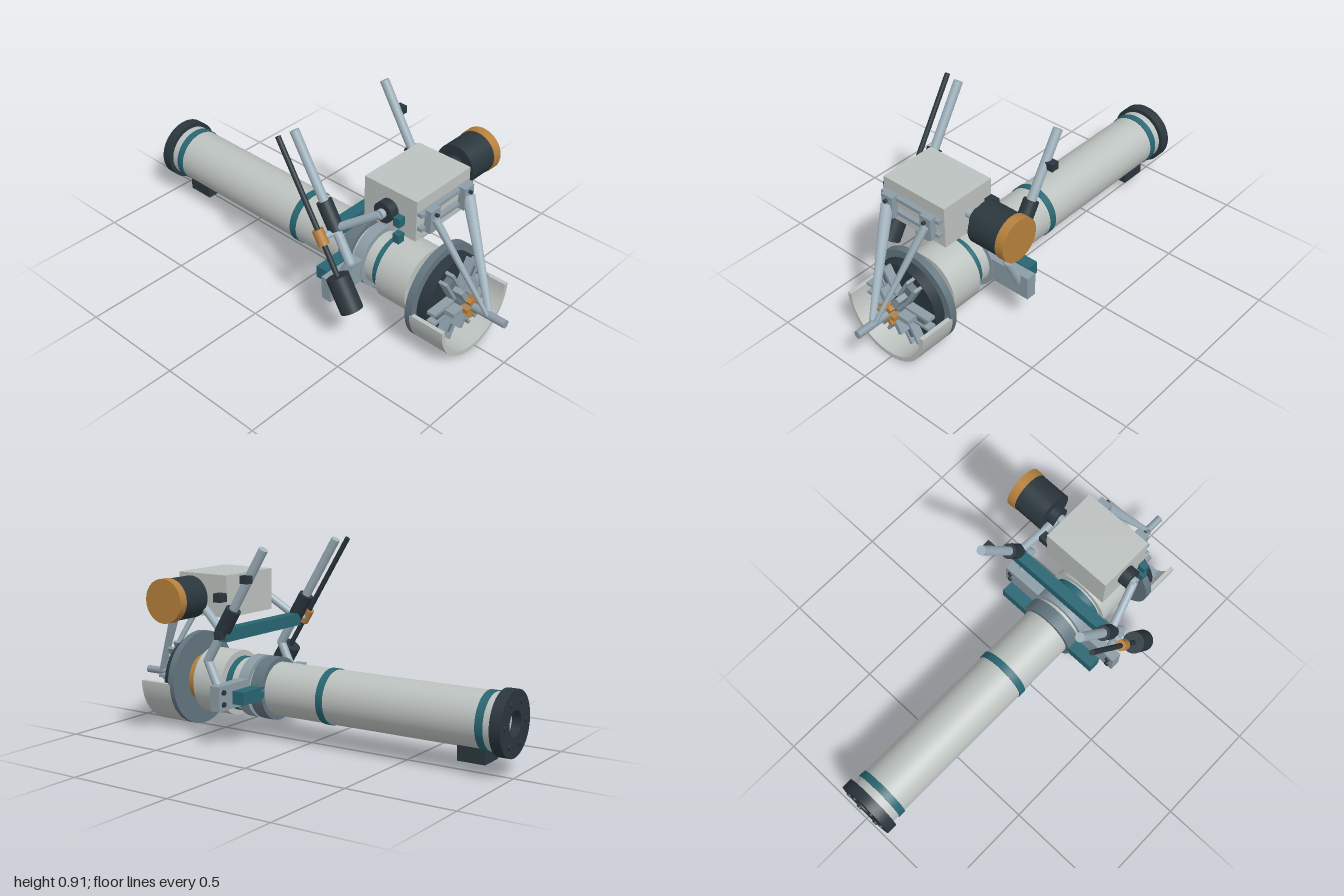
import * as THREE from 'three';

const CX = -0.02, CY = 0.228; // barrel axis
const mat = (color) => new THREE.MeshStandardMaterial({ color });
const V = (x, y, z) => new THREE.Vector3(x, y, z);

export function createModel() {
  const root = new THREE.Group();
  const M = {
    light: mat(0xbcc2bf), tube: mat(0xa0b2bd), slate: mat(0x63757f), steel: mat(0x8c9ca6),
    dark: mat(0x2a363d), teal: mat(0x286672), amber: mat(0xb5803c),
  };

  const add = (name, geo, m, parent = root) => {
    const mesh = new THREE.Mesh(geo, M[m]);
    mesh.name = name;
    parent.add(mesh);
    return mesh;
  };
  // box given by its min and max on each axis
  const box = (name, m, x0, x1, y0, y1, z0, z1, parent) => {
    const b = add(name, new THREE.BoxGeometry(x1 - x0, y1 - y0, z1 - z0), m, parent);
    b.position.set((x0 + x1) / 2, (y0 + y1) / 2, (z0 + z1) / 2);
    return b;
  };
  // cylinder from a to b, optionally tapered
  const rod = (name, m, a, b, ra, rb = ra, seg = 32, parent) => {
    const d = b.clone().sub(a);
    const c = add(name, new THREE.CylinderGeometry(rb, ra, d.length(), seg), m, parent);
    c.position.copy(a).add(b).multiplyScalar(0.5);
    c.quaternion.setFromUnitVectors(V(0, 1, 0), d.normalize());
    return c;
  };
  // disc or drum on the barrel axis
  const drum = (name, m, z0, z1, r) => rod(name, m, V(CX, CY, z0), V(CX, CY, z1), r, r, 64);

  // Barrel with its bands and collars
  drum('barrel', 'light', -0.95, 0.5, 0.125);
  drum('rearBand', 'teal', -0.905, -0.87, 0.129);
  drum('middleBand', 'teal', -0.125, -0.09, 0.129);
  drum('rearCollar', 'slate', 0.19, 0.255, 0.147);
  drum('frontCollar', 'steel', 0.275, 0.33, 0.147);
  drum('frontBand', 'teal', 0.38, 0.412, 0.129);
  drum('housing', 'light', 0.42, 0.585, 0.155);
  drum('amberSpacer', 'amber', 0.58, 0.65, 0.115);
  drum('headFlange', 'slate', 0.645, 0.68, 0.226);
  drum('headDisc', 'dark', 0.68, 0.73, 0.19);
  box('underBlock', 'dark', -0.08, 0.04, 0.05, 0.125, -0.89, -0.76);

  // Rear flange ring with bolts
  const ring = new THREE.Shape().absarc(0, 0, 0.145, 0, Math.PI * 2);
  ring.holes.push(new THREE.Path().absarc(0, 0, 0.057, 0, Math.PI * 2, true));
  add('rearFlange', new THREE.ExtrudeGeometry(ring, { depth: 0.05, bevelEnabled: false, curveSegments: 48 }), 'dark')
    .position.set(CX, CY, -0.992);
  for (let i = 0; i < 6; i++) {
    const a = (i * Math.PI) / 3;
    const x = CX + 0.102 * Math.cos(a), y = CY + 0.102 * Math.sin(a);
    rod('flangeBolt', 'dark', V(x, y, -0.99), V(x, y, -1), 0.013, 0.013, 16);
  }

  // Lower half guard around the head
  const guard = new THREE.Shape();
  guard.absarc(0, 0, 0.226, Math.PI, Math.PI * 2, false);
  guard.absarc(0, 0, 0.206, Math.PI * 2, Math.PI, true);
  guard.closePath();
  add('headGuard', new THREE.ExtrudeGeometry(guard, { depth: 0.175, bevelEnabled: false, curveSegments: 48 }), 'light')
    .position.set(CX, CY, 0.67);

  // Six radial jaws, hub and spindle
  for (let i = 0; i < 6; i++) {
    const jaw = new THREE.Group();
    jaw.name = 'jaw';
    jaw.position.set(CX, CY, 0);
    jaw.rotation.z = (i * Math.PI) / 3;
    for (const s of [-1, 1])
      box('jawRail', 'steel', 0.055, 0.185, s * 0.024 - 0.007, s * 0.024 + 0.007, 0.725, 0.772, jaw);
    box('jawSlide', 'slate', 0.06, 0.155, -0.018, 0.018, 0.725, 0.765, jaw);
    box('jawStep', 'steel', 0.045, 0.11, -0.012, 0.012, 0.76, 0.815, jaw);
    box('jawTip', 'amber', 0.024, 0.05, -0.01, 0.01, 0.795, 0.838, jaw);
    root.add(jaw);
  }
  drum('hub', 'slate', 0.72, 0.8, 0.034);
  drum('spindle', 'steel', 0.72, 1, 0.018);

  // Mounting plate and cross bars
  box('mountPlate', 'steel', -0.36, 0.325, 0.17, 0.285, 0.277, 0.328);
  box('lowerCrossBar', 'teal', -0.3, 0.262, 0.2, 0.26, 0.19, 0.25);
  box('upperCrossBar', 'teal', -0.29, 0.28, 0.482, 0.54, 0.265, 0.318);
  for (const x of [-0.33, 0.295])
    for (const y of [0.2, 0.255]) rod('plateBolt', 'dark', V(x, y, 0.28), V(x, y, 0.268), 0.012, 0.012, 16);

  // Bent handles with sleeves
  for (const x of [-0.3, 0.265]) {
    const bend = V(x, 0.385, 0.385);
    rod('handle', 'tube', V(x, 0.905, 0.07), bend, 0.021);
    rod('handleFoot', 'tube', bend, V(x, 0.21, 0.3), 0.021);
    add('handleElbow', new THREE.SphereGeometry(0.021, 24, 16), 'tube').position.copy(bend);
    rod('handleSleeve', 'dark', V(x, 0.63, 0.236), V(x, 0.515, 0.306), 0.035);
  }
  const clip = box('handleClip', 'dark', 0.275, 0.315, 0.755, 0.79, 0.122, 0.163);
  clip.name = 'upperClip';
  box('lowerClip', 'dark', 0.28, 0.315, 0.495, 0.53, 0.275, 0.31);

  // Control box with front rails, brackets and legs
  box('controlBox', 'light', -0.19, 0.155, 0.565, 0.76, 0.363, 0.64);
  for (const y of [0.628, 0.697]) box('boxRail', 'steel', -0.185, 0.145, y - 0.008, y + 0.008, 0.635, 0.664);
  for (const s of [-1, 1]) {
    const x = -0.018 + s * 0.11;
    box('legBracket', 'steel', x - 0.03, x + 0.03, 0.61, 0.715, 0.655, 0.688);
    rod('bracketPin', 'dark', V(x, 0.692, 0.67), V(x, 0.692, 0.702), 0.008, 0.008, 16);
    rod('frontLeg', 'tube', V(x, 0.672, 0.685), V(CX + s * 0.008, 0.232, 0.908), 0.027, 0.014).scale.z = 0.65;
  }

  // Side axle with the drum on the left and fittings on the right
  const axle = (name, m, x0, x1, r) => rod(name, m, V(x0, 0.664, 0.5), V(x1, 0.664, 0.5), r, r, 48);
  axle('leftAxle', 'tube', 0.15, 0.21, 0.021);
  axle('leftHub', 'dark', 0.2, 0.242, 0.047);
  axle('drumBody', 'dark', 0.239, 0.39, 0.096);
  axle('drumCap', 'amber', 0.387, 0.43, 0.1);
  axle('rightHub', 'dark', -0.235, -0.185, 0.047);
  axle('rightAxle', 'tube', -0.256, -0.23, 0.021);
  box('sideLug', 'dark', 0.15, 0.2, 0.64, 0.68, 0.363, 0.405);
  for (const y of [0.58, 0.66]) box('sideTab', 'teal', -0.245, -0.21, y - 0.021, y + 0.021, 0.565, 0.597);
  rod('rightArm', 'tube', V(-0.245, 0.664, 0.5), V(-0.3, 0.52, 0.3), 0.019);
  rod('leftArm', 'tube', V(0.206, 0.664, 0.5), V(0.265, 0.52, 0.3), 0.019);

  // Slanted weight rod beside the right handle
  const along = (y) => V(-0.38, y, 0.055 + (0.905 - y) * 0.608);
  rod('weightRod', 'dark', along(0.905), along(0.3), 0.012);
  rod('weightCollar', 'amber', along(0.545), along(0.485), 0.025);
  rod('weight', 'dark', along(0.36), along(0.222), 0.051, 0.051, 48);
  rod('weightLink', 'tube', along(0.51), V(-0.3, 0.51, 0.305), 0.016);

  return root;
}
